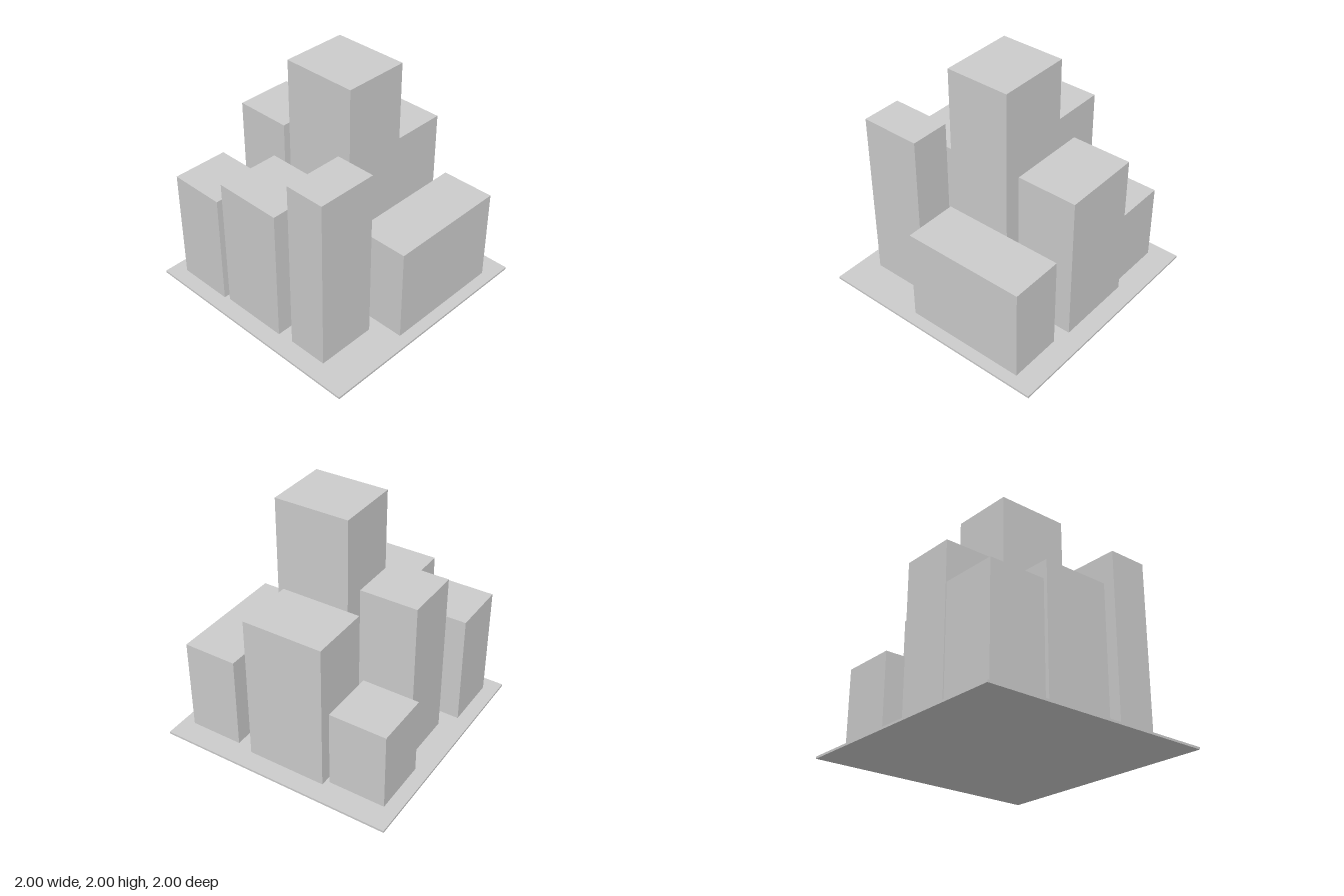
import * as THREE from 'three';

const BASE = 0.018;

// name, x range, z range, height of the roof
const BLOCKS = [
  ['backRightBlock', -0.875, -0.4, -0.88, -0.4, 0.97],
  ['backMiddleTower', -0.255, 0.22, -0.78, -0.305, 1.412],
  ['backLeftBlock', 0.315, 0.79, -0.88, -0.4, 0.685],
  ['middleRightBlock', -0.86, -0.32, -0.355, 0.22, 1.147],
  ['centralTower', -0.257, 0.285, -0.24, 0.383, 2],
  ['middleLeftTower', 0.332, 0.84, -0.368, 0.302, 1.273],
  ['frontRightTower', -0.843, -0.337, 0.347, 0.682, 1.478],
  ['frontLeftBlock', -0.225, 0.807, 0.447, 0.9, 0.812],
];

export function createModel() {
  const city = new THREE.Group();
  city.name = 'cityBlock';
  const material = new THREE.MeshStandardMaterial({ color: 0xcccccc, flatShading: true });

  // Box spanning the given ranges
  const addBox = (name, x0, x1, z0, z1, y0, y1) => {
    const mesh = new THREE.Mesh(new THREE.BoxGeometry(x1 - x0, y1 - y0, z1 - z0), material);
    mesh.position.set((x0 + x1) / 2, (y0 + y1) / 2, (z0 + z1) / 2);
    mesh.name = name;
    city.add(mesh);
  };

  // Ground plate
  addBox('groundPlate', -1, 1, -1, 1, 0, BASE);

  // Buildings standing on the plate
  for (const [name, x0, x1, z0, z1, top] of BLOCKS) addBox(name, x0, x1, z0, z1, BASE, top);

  return city;
}
